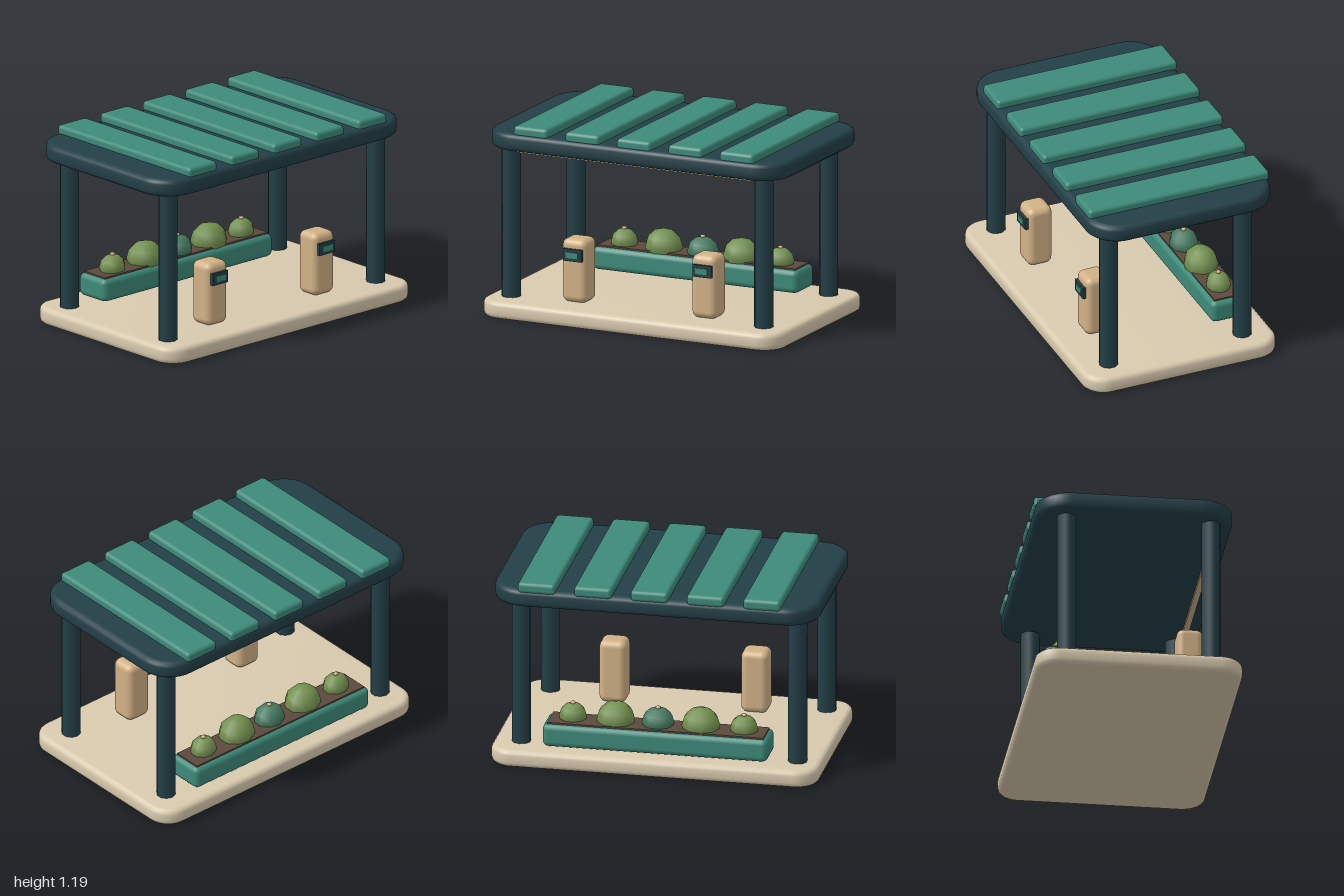
import * as THREE from 'three';
import { toCreasedNormals } from 'three/addons/utils/BufferGeometryUtils.js';
import { RoundedBoxGeometry } from 'three/addons/geometries/RoundedBoxGeometry.js';

function material(name, color) {
  const m = new THREE.MeshStandardMaterial({ color });
  m.name = name;
  return m;
}

// Horizontal slab with rounded plan corners and softened edges, resting on y = 0
function slabGeometry(w, d, h, corner, bevel, bevelHeight) {
  const x = w / 2 - bevel, y = d / 2 - bevel, r = corner - bevel;
  const s = new THREE.Shape();
  s.absarc(x - r, y - r, r, 0, Math.PI / 2);
  s.absarc(-x + r, y - r, r, Math.PI / 2, Math.PI);
  s.absarc(-x + r, -y + r, r, Math.PI, Math.PI * 1.5);
  s.absarc(x - r, -y + r, r, Math.PI * 1.5, Math.PI * 2);
  const g = new THREE.ExtrudeGeometry(s, {
    depth: h - 2 * bevelHeight, bevelEnabled: true, bevelSize: bevel,
    bevelThickness: bevelHeight, bevelSegments: 3, curveSegments: 6,
  });
  g.translate(0, 0, bevelHeight);
  g.rotateX(-Math.PI / 2);
  return toCreasedNormals(g, 0.65);
}

export function createModel() {
  const model = new THREE.Group();
  model.name = 'shelter';

  const cream = material('cream stone', 0xd8caae);
  const navy = material('dark slate', 0x233f47);
  const teal = material('teal', 0x3d8a79);
  const tan = material('tan', 0xd2b286);
  const brown = material('soil brown', 0x5c493e);
  const leaf = material('leaf green', 0x739150);
  const sage = material('deep green', 0x467c62);

  const add = (name, geometry, mat, x, y, z, parent = model) => {
    const mesh = new THREE.Mesh(geometry, mat);
    mesh.name = name;
    mesh.position.set(x, y, z);
    parent.add(mesh);
    return mesh;
  };

  // Floor and roof
  add('floorSlab', slabGeometry(2, 1.25, 0.105, 0.14, 0.03, 0.03), cream, 0, 0, 0);
  add('roofSlab', slabGeometry(1.985, 1.185, 0.11, 0.2, 0.035, 0.03), navy, -0.003, 1.027, -0.022);

  // Roof slats
  const slat = new RoundedBoxGeometry(0.229, 0.067, 1.175, 2, 0.022);
  for (let i = -2; i <= 2; i++) add('roofSlat', slat, teal, 0.015 + i * 0.344, 1.153, -0.033);

  // Posts
  const post = new THREE.CylinderGeometry(0.058, 0.058, 0.94, 10);
  for (const x of [-0.857, 0.831])
    for (const z of [0.437, -0.434]) add('post', post, navy, x, 0.57, z);

  // Light strip under the front edge of the roof
  add('lightStrip', new THREE.BoxGeometry(1.575, 0.03, 0.035), tan, -0.003, 1.025, 0.48);

  // Planter with soil
  const planter = new THREE.Group();
  planter.name = 'planter';
  model.add(planter);
  add('planterBox', new RoundedBoxGeometry(1.375, 0.143, 0.237, 2, 0.035), teal, -0.003, 0.186, -0.423, planter);
  add('soil', new THREE.BoxGeometry(1.32, 0.03, 0.185), brown, -0.003, 0.25, -0.423, planter);

  // Round cacti: x, radius, height radius, material, has bud
  const ball = new THREE.SphereGeometry(1, 9, 6);
  const bud = new THREE.SphereGeometry(0.017, 8, 5);
  const cacti = [
    [-0.525, 0.085, 0.08, leaf, true],
    [-0.262, 0.118, 0.108, leaf, false],
    [0, 0.1, 0.088, sage, true],
    [0.258, 0.118, 0.108, leaf, false],
    [0.52, 0.085, 0.08, leaf, true],
  ];
  for (const [x, r, h, mat, hasBud] of cacti) {
    add('cactus', ball, mat, x, 0.286, -0.415, planter).scale.set(r, h, r * 0.88);
    if (hasBud) add('cactusBud', bud, tan, x, 0.286 + h, -0.415, planter).scale.y = 0.6;
  }

  // Terminals with a small screen facing forward
  const body = new RoundedBoxGeometry(0.168, 0.392, 0.16, 3, 0.042);
  for (const x of [-0.443, 0.423]) {
    const terminal = new THREE.Group();
    terminal.name = 'terminal';
    terminal.position.set(x, 0, 0.357);
    model.add(terminal);
    add('terminalBody', body, tan, 0, 0.3, 0, terminal);
    add('screenFrame', new THREE.BoxGeometry(0.123, 0.075, 0.024), navy, 0, 0.402, 0.084, terminal);
    add('screen', new THREE.BoxGeometry(0.08, 0.036, 0.008), teal, 0, 0.402, 0.098, terminal);
  }

  return model;
}
